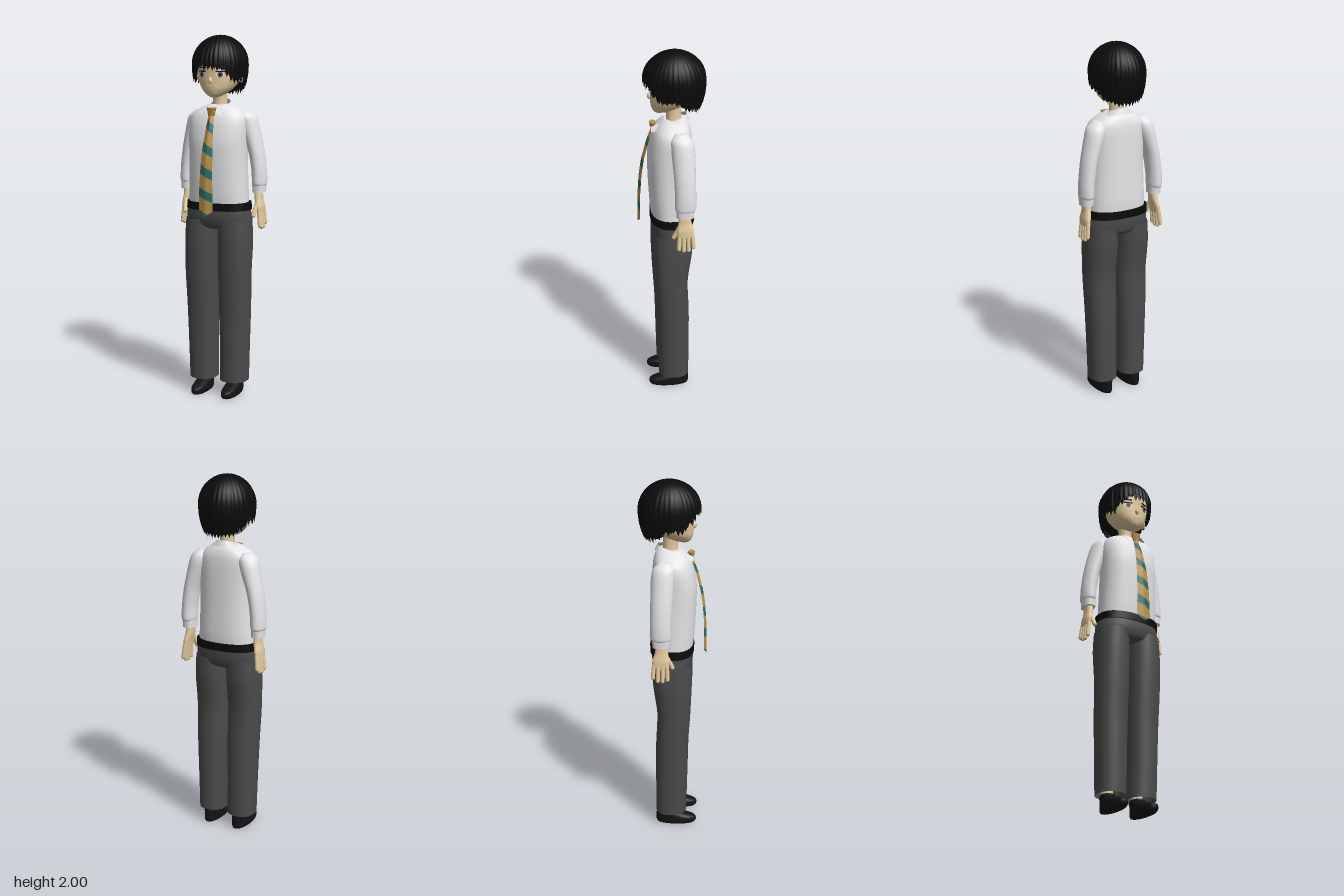
import * as THREE from 'three';

const mat = (name, color, side = THREE.FrontSide) => {
  const m = new THREE.MeshStandardMaterial({ color, side });
  m.name = name;
  return m;
};
const lerp = THREE.MathUtils.lerp;

// Linear lookup in a short ascending table of [key, value]
function lookup(table, k) {
  for (let i = 1; i < table.length; i++) {
    const [a, va] = table[i - 1], [b, vb] = table[i];
    if (k <= b) return lerp(va, vb, Math.max(0, (k - a) / (b - a)));
  }
  return table[table.length - 1][1];
}

// Grid surface from a function (u, v in 0..1) => [x, y, z]
function grid(nu, nv, fn) {
  const pos = [], idx = [];
  for (let i = 0; i <= nv; i++)
    for (let j = 0; j <= nu; j++) pos.push(...fn(j / nu, i / nv));
  for (let i = 0; i < nv; i++)
    for (let j = 0; j < nu; j++) {
      const a = i * (nu + 1) + j, b = a + nu + 1;
      idx.push(a, a + 1, b + 1, a, b + 1, b);
    }
  const g = new THREE.BufferGeometry();
  g.setAttribute('position', new THREE.Float32BufferAttribute(pos, 3));
  g.setIndex(idx);
  g.computeVertexNormals();
  return g;
}

// Smooth stack of rounded rings, keys ascending: [y, cx, cz, rx, rz]
function loft(keys, { seg = 24, steps = 4, n = 2, caps = true } = {}) {
  const centre = new THREE.CatmullRomCurve3(keys.map(k => new THREE.Vector3(k[1], k[0], k[2])), false, 'catmullrom', 0.4);
  const size = new THREE.CatmullRomCurve3(keys.map(k => new THREE.Vector3(k[3], 0, k[4])), false, 'catmullrom', 0.4);
  const rows = (keys.length - 1) * steps, pos = [], idx = [];
  const ring = t => {
    const c = centre.getPoint(t), r = size.getPoint(t);
    for (let j = 0; j < seg; j++) {
      const a = j / seg * Math.PI * 2, s = Math.sin(a), k = Math.cos(a);
      pos.push(c.x + r.x * Math.sign(s) * Math.abs(s) ** (2 / n), c.y,
        c.z + r.z * Math.sign(k) * Math.abs(k) ** (2 / n));
    }
    return c;
  };
  for (let i = 0; i <= rows; i++) ring(i / rows);
  for (let i = 0; i < rows; i++)
    for (let j = 0; j < seg; j++) {
      const k = (j + 1) % seg, a = i * seg, b = a + seg;
      idx.push(a + j, a + k, b + k, a + j, b + k, b + j);
    }
  if (caps) for (const t of [0, 1]) {
    const base = pos.length / 3, c = ring(t);
    pos.push(c.x, c.y, c.z);
    for (let j = 0; j < seg; j++) {
      const p = base + j, q = base + (j + 1) % seg;
      idx.push(base + seg, t ? p : q, t ? q : p);
    }
  }
  const g = new THREE.BufferGeometry();
  g.setAttribute('position', new THREE.Float32BufferAttribute(pos, 3));
  g.setIndex(idx);
  g.computeVertexNormals();
  return g;
}

// Rounded rod between two points
function rod(a, b, r) {
  const p = new THREE.Vector3(...a), q = new THREE.Vector3(...b), d = q.clone().sub(p);
  const g = new THREE.CapsuleGeometry(r, d.length(), 4, 8);
  g.applyQuaternion(new THREE.Quaternion().setFromUnitVectors(new THREE.Vector3(0, 1, 0), d.normalize()));
  return g.translate(...p.add(q).multiplyScalar(0.5).toArray());
}

export function createModel() {
  const model = new THREE.Group();
  const D = THREE.DoubleSide;
  const skin = mat('skin', 0xe6cda0), black = mat('hair black', 0x0b0b0c, D), white = mat('shirt white', 0xe9e9ec);
  const collarMat = mat('collar white', 0xdcdce0, D), grey = mat('trouser grey', 0x4b4b4c, D);
  const leather = mat('shoe black', 0x141416), gold = mat('tie gold', 0xb8924a, D);
  const teal = mat('tie teal', 0x2b6b68, D), iris = mat('iris grey', 0x62585f), lip = mat('lip', 0xb98a70);
  const add = (name, geo, m, parent = model) => {
    const mesh = new THREE.Mesh(geo, m);
    mesh.name = name;
    parent.add(mesh);
    return mesh;
  };

  // Head, neck and nose
  add('head', loft([[1.665, 0, 0.06, 0.02, 0.025], [1.68, 0, 0.045, 0.05, 0.055], [1.71, 0, 0.02, 0.085, 0.09],
    [1.75, 0, 0, 0.11, 0.112], [1.8, 0, -0.005, 0.122, 0.118], [1.86, 0, -0.01, 0.125, 0.125],
    [1.92, 0, -0.015, 0.105, 0.11], [1.96, 0, -0.015, 0.06, 0.06]], { seg: 32 }), skin);
  add('neck', loft([[1.57, 0, -0.015, 0.048, 0.048], [1.64, 0, -0.012, 0.04, 0.04], [1.72, 0, -0.008, 0.043, 0.045]]), skin);
  add('nose', new THREE.SphereGeometry(1, 12, 8).scale(0.011, 0.019, 0.016).translate(0, 1.755, 0.112), skin);
  add('mouth', new THREE.BoxGeometry(0.034, 0.004, 0.006).translate(0, 1.717, 0.107), lip);

  // Eyes, brows and ears
  for (const s of [1, -1]) {
    const eye = new THREE.Group();
    eye.name = s > 0 ? 'leftEye' : 'rightEye';
    eye.position.set(0.053 * s, 1.787, 0.104);
    eye.rotation.y = 0.44 * s;
    model.add(eye);
    add('eyeWhite', new THREE.CircleGeometry(1, 20).scale(0.024, 0.017, 1), white, eye);
    add('iris', new THREE.CircleGeometry(1, 20).scale(0.0145, 0.0165, 1).translate(0, 0, 0.002), iris, eye);
    add('pupil', new THREE.CircleGeometry(0.007, 12).translate(0, 0, 0.004), black, eye);
    add('upperLash', new THREE.BoxGeometry(0.05, 0.006, 0.006).translate(0, 0.017, 0), black, eye);
    add('brow', new THREE.BoxGeometry(0.045, 0.005, 0.006).translate(0, 0.036, 0.002), black, eye);
    add('ear', new THREE.SphereGeometry(1, 12, 10).scale(0.014, 0.032, 0.022).translate(0.124 * s, 1.775, -0.015), skin);
  }

  // Hair shell: ridged strands with a jagged hem, short in front and long at the nape
  const hem = [[0, 1.825], [0.4, 1.82], [0.75, 1.785], [1.05, 1.745], [1.6, 1.745], [2.1, 1.7], [2.6, 1.68], [3.15, 1.68]];
  const noise = i => { const x = Math.sin(i * 127.1 + 3.7) * 4375.5; return x - Math.floor(x); };
  const strands = 36, per = 4;
  const hairShell = (lift, shift, drop) => grid(strands * per, 12, (u, v) => {
    const k = u * strands + shift, id = Math.floor(k + 1e-6) % strands, f = k - Math.floor(k + 1e-6);
    const a = u * Math.PI * 2, tip = 1 - Math.abs(2 * f - 1);
    const end = lookup(hem, Math.min(a, Math.PI * 2 - a)) + drop - tip * (0.015 + 0.025 * noise(id)) + 0.018;
    const c = (end - 1.845) / (end > 1.845 ? 0.152 : 0.26);
    const phi = -v * Math.acos(c), cos = Math.cos(phi), r = Math.sin(-phi);
    const bulge = lift + 0.045 * tip * v * (0.4 + noise(id + 50));
    return [0.146 * r * bulge * Math.sin(a), 1.845 + cos * (cos > 0 ? 0.152 : 0.26), -0.017 + 0.163 * r * bulge * Math.cos(a)];
  });
  // Rows run downwards, so the winding is reversed to face outwards
  const outward = g => {
    const ix = g.index.array;
    for (let i = 0; i < ix.length; i += 3) [ix[i + 1], ix[i + 2]] = [ix[i + 2], ix[i + 1]];
    g.computeVertexNormals();
    return g;
  };
  add('outerHair', outward(hairShell(1, 0, 0.012)), black);
  add('innerHair', outward(hairShell(0.965, 0.5, 0)), black);
  add('napeHair', new THREE.SphereGeometry(1, 20, 14).scale(0.115, 0.12, 0.08).translate(0, 1.8, -0.085), black);

  // Shirt body
  add('shirtBody', loft([[1.07, 0, 0, 0.168, 0.112], [1.15, 0, 0.002, 0.166, 0.118], [1.3, 0, 0.008, 0.162, 0.12],
    [1.42, 0, 0.01, 0.163, 0.12], [1.51, 0, 0.004, 0.165, 0.112], [1.565, 0, -0.003, 0.155, 0.1],
    [1.6, 0, -0.01, 0.115, 0.082], [1.625, 0, -0.017, 0.065, 0.058]], { seg: 36, n: 2.4 }), white);

  // Turned-down collar, open at the front
  add('collar', grid(48, 3, (u, v) => {
    const a = 0.16 + u * (Math.PI * 2 - 0.32), k = Math.cos(a), s = Math.sin(a);
    const fromFront = Math.min(a, Math.PI * 2 - a);
    const low = 1.607 - 0.014 * k - 0.026 * Math.exp(-(((fromFront - 0.65) / 0.28) ** 2));
    const z = k > 0 ? Math.min(0.112, -0.02 + 0.16 * k) : -0.02 + 0.075 * k;
    return [lerp(0.09, 0.052, v) * s, lerp(low, 1.632 - 0.02 * k, v), lerp(z, -0.018 + 0.062 * k, v)];
  }), collarMat);

  // Arms and hands
  for (const s of [1, -1]) {
    const arm = new THREE.Group();
    arm.name = s > 0 ? 'leftArm' : 'rightArm';
    model.add(arm);
    add('sleeve', loft([[1.185, 0.218 * s, -0.055, 0.034, 0.05], [1.2, 0.218 * s, -0.055, 0.039, 0.056],
      [1.27, 0.215 * s, -0.055, 0.04, 0.056], [1.38, 0.198 * s, -0.052, 0.043, 0.058], [1.51, 0.16 * s, -0.046, 0.053, 0.062],
      [1.56, 0.147 * s, -0.04, 0.048, 0.056], [1.59, 0.135 * s, -0.035, 0.022, 0.028]]), white, arm);
    add('cuff', loft([[1.147, 0.217 * s, -0.053, 0.034, 0.046], [1.2, 0.217 * s, -0.054, 0.035, 0.049]], { n: 2.4 }), white, arm);
    add('palm', loft([[1.035, 0.228 * s, -0.056, 0.015, 0.044], [1.07, 0.225 * s, -0.054, 0.018, 0.046],
      [1.11, 0.217 * s, -0.052, 0.02, 0.036], [1.16, 0.214 * s, -0.052, 0.022, 0.028]], { n: 2.4 }), skin, arm);
    for (let i = 0; i < 4; i++) {
      const z = -0.022 - i * 0.023, tip = [0.965, 0.955, 0.957, 0.975][i];
      add('finger', rod([0.228 * s, 1.045, z], [0.236 * s, tip, z - 0.003 * (i - 1)], 0.0115), skin, arm);
    }
    add('thumb', rod([0.216 * s, 1.085, -0.022], [0.208 * s, 1.025, 0.006], 0.0125), skin, arm);
  }

  // Tie: slanted bands of alternating colour
  const depth = [[1.03, 0.187], [1.2, 0.185], [1.32, 0.176], [1.4, 0.163], [1.5, 0.137], [1.58, 0.108]];
  const width = [[1.03, 0.041], [1.12, 0.041], [1.35, 0.033], [1.58, 0.016]];
  const tie = new THREE.Group();
  tie.name = 'tie';
  model.add(tie);
  let top = 1.61;
  for (let i = 0; top > 1.0; i++) {
    const hi = top, lo = top - (i % 2 ? 0.048 : 0.074);
    add(i % 2 ? 'tealStripe' : 'goldStripe', grid(8, 4, (u, v) => {
      const s = u * 2 - 1;
      const y = THREE.MathUtils.clamp(lerp(lo, hi, v) - 0.018 * s, 1.03 + 0.028 * Math.abs(s), 1.58);
      return [s * lookup(width, y), y, lookup(depth, y) - 0.012 * Math.abs(s)];
    }), i % 2 ? teal : gold, tie);
    top = lo;
  }
  add('tieKnot', new THREE.CylinderGeometry(0.03, 0.019, 0.045, 8).scale(1, 1, 0.6).translate(0, 1.588, 0.1), gold, tie);

  // Belt and trousers
  add('belt', loft([[1.052, 0, -0.002, 0.184, 0.121], [1.094, 0, -0.002, 0.182, 0.121]], { seg: 36, n: 2.4 }), black);
  add('trouserHips', loft([[0.945, 0, 0, 0.172, 0.07], [0.965, 0, 0, 0.184, 0.1], [1.01, 0, 0, 0.184, 0.113],
    [1.065, 0, -0.002, 0.178, 0.115]], { seg: 36, n: 2.4 }), grey);
  for (const s of [1, -1]) {
    add('trouserLeg', loft([[0.08, 0.093 * s, -0.005, 0.078, 0.085], [0.3, 0.096 * s, -0.003, 0.081, 0.088],
      [0.5, 0.098 * s, 0, 0.086, 0.09], [0.7, 0.1 * s, 0.01, 0.09, 0.092], [0.88, 0.1 * s, 0.002, 0.092, 0.107],
      [1.0, 0.096 * s, 0, 0.088, 0.108]], { n: 2.3, caps: false }), grey);
    // Ankle and slip-on shoe
    add('ankle', new THREE.CylinderGeometry(0.034, 0.03, 0.2, 16).translate(0.092 * s, 0.15, -0.04), skin);
    add('shoe', loft([[0, 0.092 * s, 0.022, 0.039, 0.107], [0.012, 0.092 * s, 0.024, 0.043, 0.114],
      [0.035, 0.092 * s, 0.022, 0.043, 0.112], [0.052, 0.092 * s, 0, 0.041, 0.09],
      [0.075, 0.092 * s, -0.032, 0.037, 0.056], [0.09, 0.092 * s, -0.038, 0.034, 0.048]], { n: 2.2 }), leather);
  }
  return model;
}
